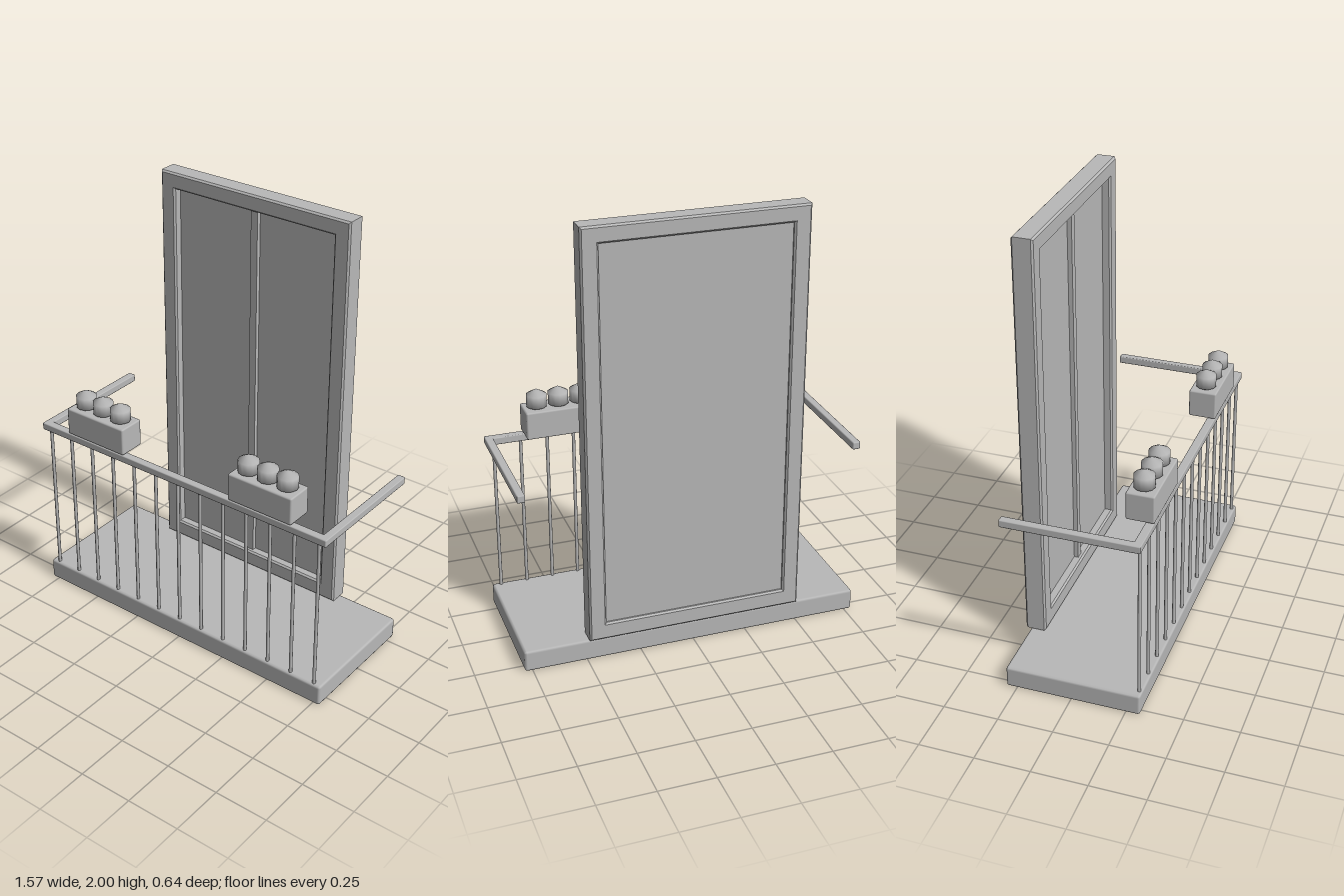
import * as THREE from 'three';
import { RoundedBoxGeometry } from 'three/addons/geometries/RoundedBoxGeometry.js';

export function createModel() {
  const model = new THREE.Group();
  model.name = 'balcony';
  const grey = new THREE.MeshStandardMaterial({ color: 0xb8b8b8 });
  grey.name = 'plain grey';

  const add = (name, geometry, x = 0, y = 0, z = 0, parent = model) => {
    const mesh = new THREE.Mesh(geometry, grey);
    mesh.name = name;
    mesh.position.set(x, y, z);
    parent.add(mesh);
    return mesh;
  };
  // Box given by its limits, with a small bevel when r > 0
  const box = (name, [x0, x1], [y0, y1], [z0, z1], r = 0, parent = model) => {
    const size = [x1 - x0, y1 - y0, z1 - z0];
    const geometry = r ? new RoundedBoxGeometry(...size, 1, r) : new THREE.BoxGeometry(...size);
    return add(name, geometry, (x0 + x1) / 2, (y0 + y1) / 2, (z0 + z1) / 2, parent);
  };
  const rectangle = (target, x0, y0, x1, y1) =>
    target.moveTo(x0, y0).lineTo(x1, y0).lineTo(x1, y1).lineTo(x0, y1).closePath();

  // Floor slab
  box('floorSlab', [-0.785, 0.785], [0, 0.1], [-0.3, 0.315], 0.012);

  // Door: bevelled frame, recessed panel and centre bar
  const door = new THREE.Group();
  door.name = 'door';
  model.add(door);
  const bevel = 0.008;
  const outline = rectangle(new THREE.Shape(), -0.496, 0.105, 0.492, 2);
  outline.holes.push(rectangle(new THREE.Path(), -0.42, 0.185, 0.415, 1.925));
  const frame = new THREE.ExtrudeGeometry(outline, {
    depth: 0.095 - 2 * bevel, bevelEnabled: true, bevelSegments: 1,
    bevelSize: bevel, bevelThickness: bevel, bevelOffset: -bevel,
  });
  add('doorFrame', frame, 0, 0, -0.32 + bevel, door);
  box('doorPanel', [-0.43, 0.425], [0.175, 1.935], [-0.305, -0.265], 0, door);
  box('doorCentreBar', [-0.02, 0.015], [0.185, 1.925], [-0.27, -0.245], 0, door);

  // Railing: front rail, two side rails and a row of thin bars
  const railing = new THREE.Group();
  railing.name = 'railing';
  model.add(railing);
  const railY = [0.833, 0.868];
  box('frontRail', [-0.785, 0.785], railY, [0.277, 0.315], 0.005, railing);
  for (const side of [-1, 1]) {
    const x = side * 0.767;
    box(side < 0 ? 'rightRail' : 'leftRail', [x - 0.018, x + 0.018], railY, [-0.3, 0.312], 0.005, railing);
  }
  const bar = new THREE.CylinderGeometry(0.008, 0.008, 0.75, 8);
  for (let i = 0; i < 13; i++) add('railingBar', bar, -0.745 + (i * 1.49) / 12, 0.467, 0.299, railing);

  // Flower boxes, each with three round plants
  const plant = new THREE.SphereGeometry(0.054, 12, 3);
  for (const x of [-0.456, 0.45]) {
    const planter = new THREE.Group();
    planter.name = x < 0 ? 'rightPlanter' : 'leftPlanter';
    model.add(planter);
    box('planterBox', [x - 0.163, x + 0.163], [0.873, 1.003], [0.193, 0.32], 0.008, planter);
    for (const dx of [-0.1, 0, 0.1]) add('plant', plant, x + dx, 1.037, 0.256, planter);
  }
  return model;
}
